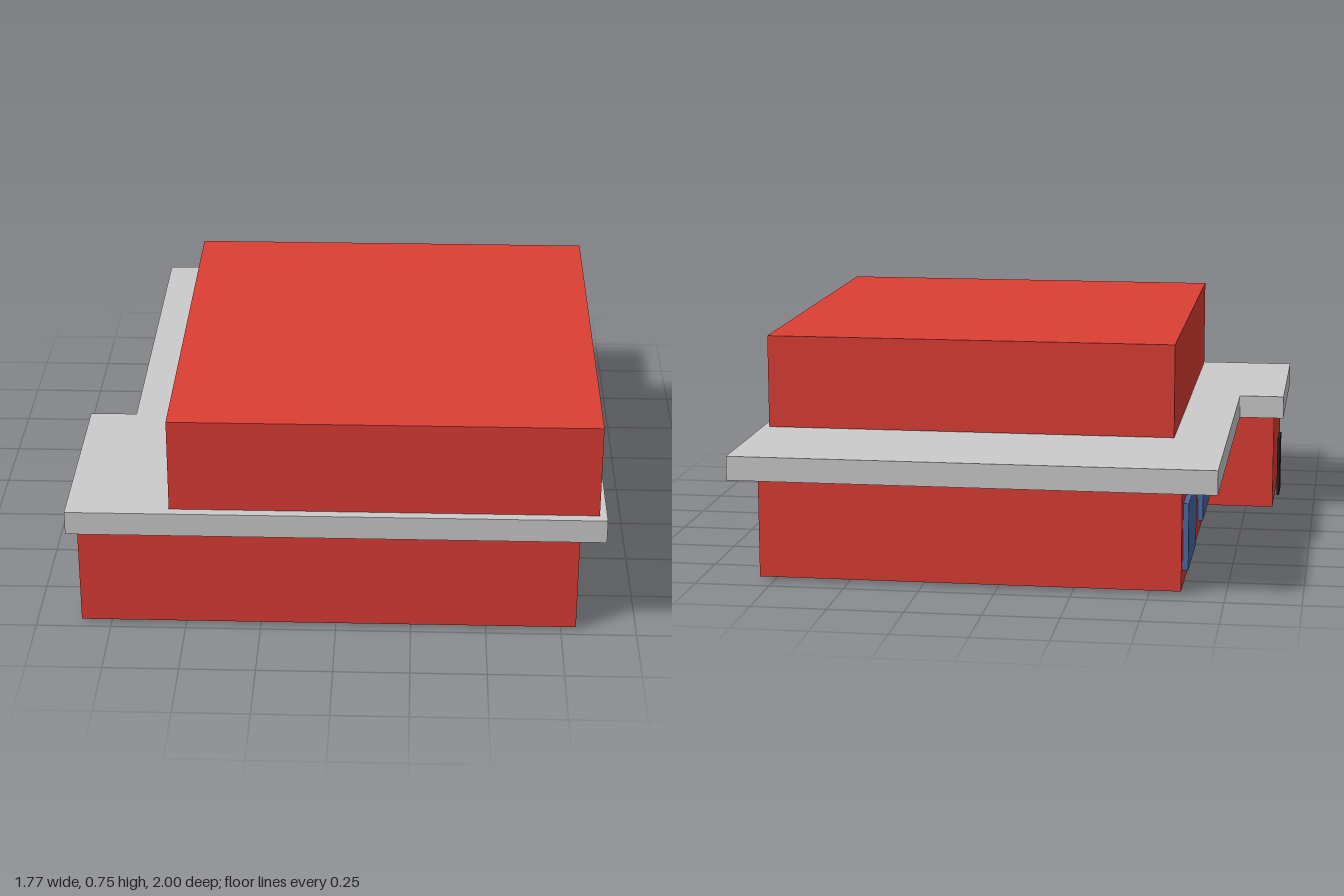
import * as THREE from 'three';

const red = new THREE.MeshStandardMaterial({ color: 0xdd3e34 });
const grey = new THREE.MeshStandardMaterial({ color: 0xcccccc });
const blue = new THREE.MeshStandardMaterial({ color: 0x4a6aa5 });
const black = new THREE.MeshStandardMaterial({ color: 0x222222 });

// Box given by its extents on each axis
function box(name, material, [x0, x1], [y0, y1], [z0, z1]) {
  const mesh = new THREE.Mesh(new THREE.BoxGeometry(x1 - x0, y1 - y0, z1 - z0), material);
  mesh.position.set((x0 + x1) / 2, (y0 + y1) / 2, (z0 + z1) / 2);
  mesh.name = name;
  return mesh;
}

// L-shaped slab: a rectangle with its back corner at -x notched out
function notchedSlab(name, material, [x0, x1], [y0, y1], [z0, z1], notchX, notchZ) {
  const plan = [[x0, z1], [x1, z1], [x1, z0], [notchX, z0], [notchX, notchZ], [x0, notchZ]];
  const shape = new THREE.Shape(plan.map(([x, z]) => new THREE.Vector2(x, -z)));
  const geometry = new THREE.ExtrudeGeometry(shape, { depth: y1 - y0, bevelEnabled: false });
  geometry.rotateX(-Math.PI / 2);
  const mesh = new THREE.Mesh(geometry, material);
  mesh.position.y = y0;
  mesh.name = name;
  return mesh;
}

export function createModel() {
  const model = new THREE.Group();
  model.name = 'house';

  // Ground floor, overhanging flat roof and upper storey
  model.add(notchedSlab('groundFloor', red, [-0.85, 0.8], [0.01, 0.353], [-0.92, 0.97], -0.605, 0.315));
  model.add(notchedSlab('flatRoof', grey, [-0.885, 0.885], [0.353, 0.434], [-1, 1], -0.725, 0.29));
  model.add(box('upperStorey', red, [-0.545, 0.86], [0.436, 0.755], [-0.515, 0.97]));

  // Two windows on the recessed side wall
  [-0.86, -0.16].forEach((z, i) => {
    model.add(box(`window${i + 1}`, blue, [-0.623, -0.6], [0.065, 0.29], [z, z + 0.36]));
  });

  // Entrance door standing just proud of the side wall
  model.add(box('door', black, [-0.866, -0.856], [0, 0.22], [0.56, 0.685]));

  return model;
}
